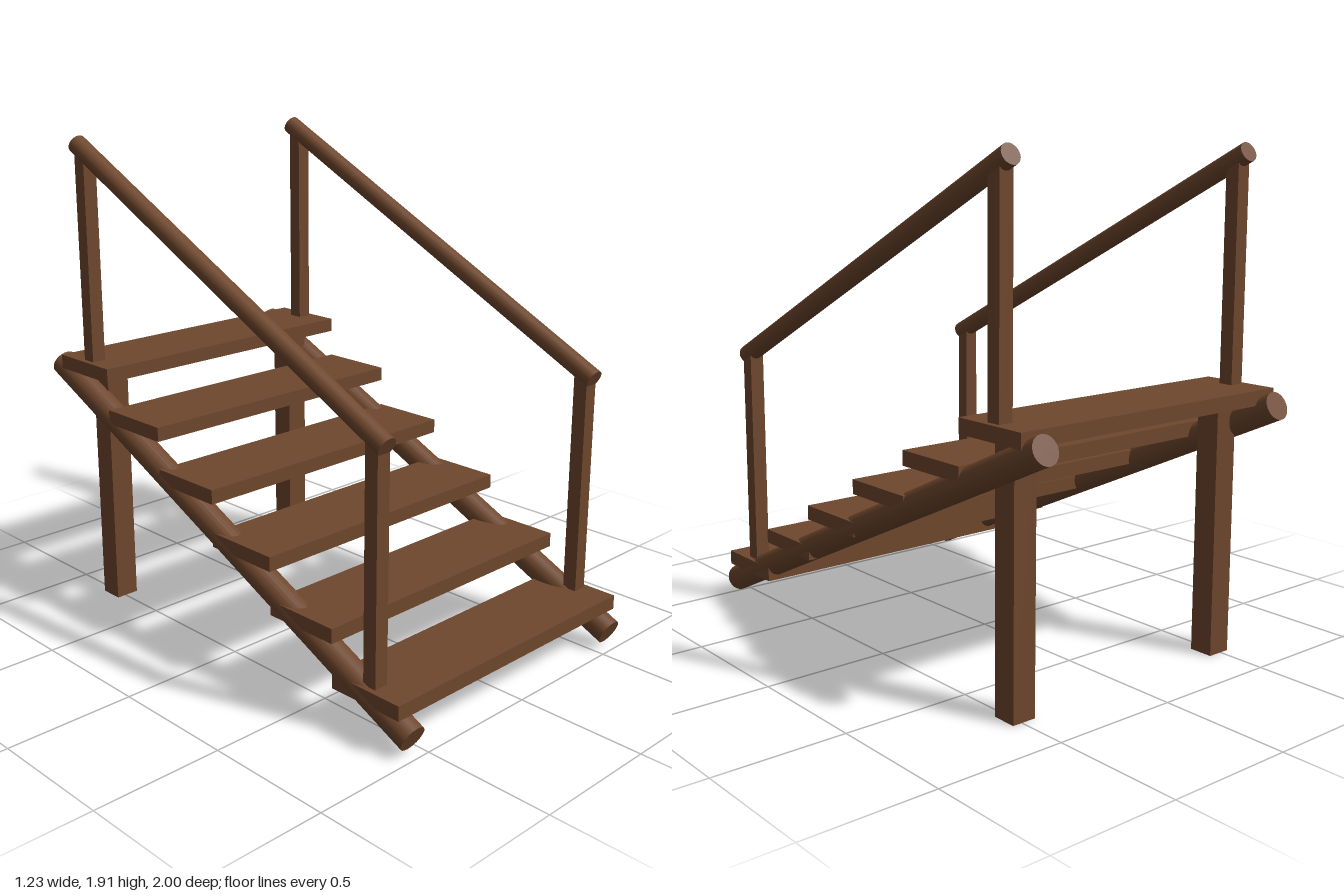
import * as THREE from 'three';

const wood = new THREE.MeshStandardMaterial({ color: 0x6f472d });
wood.name = 'brown wood';

const STEPS = 6;
const FIRST = { y: 0.17, z: 0.805 };
const LAST = { y: 1.0, z: -0.765 };
const SIDE = 0.56;

function addBox(parent, name, size, position) {
  const mesh = new THREE.Mesh(new THREE.BoxGeometry(...size), wood);
  mesh.name = name;
  mesh.position.set(...position);
  parent.add(mesh);
}

// Round pole between two points
function addPole(parent, name, radius, from, to) {
  const a = new THREE.Vector3(...from);
  const b = new THREE.Vector3(...to);
  const dir = b.clone().sub(a);
  const mesh = new THREE.Mesh(new THREE.CylinderGeometry(radius, radius, dir.length(), 24), wood);
  mesh.name = name;
  mesh.position.copy(a).add(b).multiplyScalar(0.5);
  mesh.quaternion.setFromUnitVectors(new THREE.Vector3(0, 1, 0), dir.normalize());
  parent.add(mesh);
}

// Upright square post from y0 to y1
function addPost(parent, name, width, x, y0, y1, z) {
  addBox(parent, name, [width, y1 - y0, width], [x, (y0 + y1) / 2, z]);
}

export function createModel() {
  const stairs = new THREE.Group();
  stairs.name = 'openStaircase';

  // Plank treads
  const treads = new THREE.Group();
  treads.name = 'treads';
  for (let i = 0; i < STEPS; i++) {
    const t = i / (STEPS - 1);
    const y = THREE.MathUtils.lerp(FIRST.y, LAST.y, t);
    const z = THREE.MathUtils.lerp(FIRST.z, LAST.z, t);
    addBox(treads, `tread${i + 1}`, [1.22, 0.056, 0.313], [0, y, z]);
  }
  stairs.add(treads);

  // Stringer, handrail, posts and rear leg on each side
  for (const [side, s] of [['left', 1], ['right', -1]]) {
    const x = s * SIDE;
    const group = new THREE.Group();
    group.name = `${side}Side`;
    addPole(group, `${side}Stringer`, 0.053, [x, 0.066, 0.98], [x, 0.976, -0.98]);
    addPole(group, `${side}Handrail`, 0.038, [x, 1.053, 0.847], [x, 1.878, -0.809]);
    addPost(group, `${side}FrontPost`, 0.057, x, FIRST.y, 1.06, 0.806);
    addPost(group, `${side}BackPost`, 0.057, x, LAST.y, 1.85, -0.761);
    addPost(group, `${side}RearLeg`, 0.096, s * 0.49, 0, 0.98, -0.758);
    stairs.add(group);
  }

  return stairs;
}
